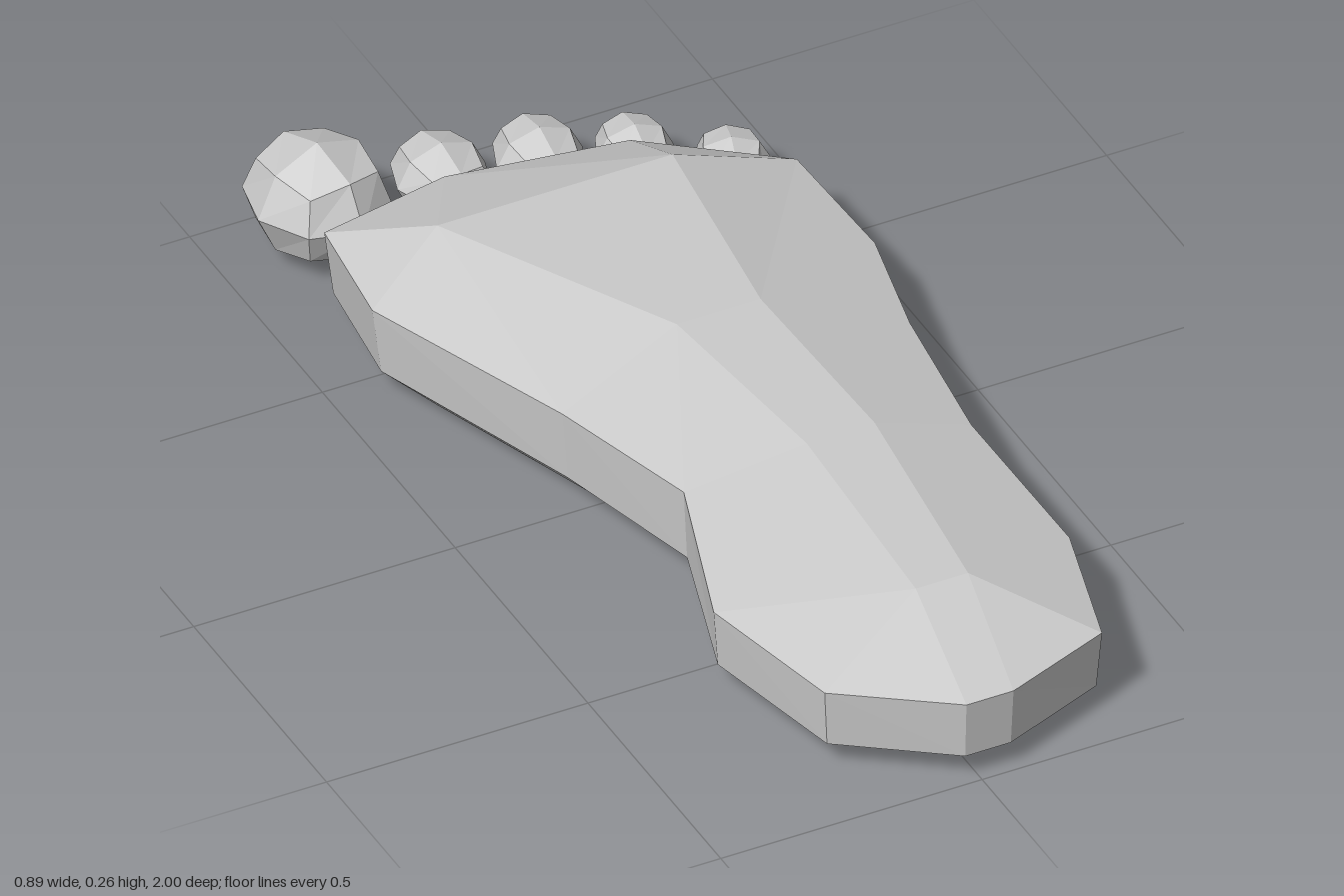
import * as THREE from 'three';

const material = new THREE.MeshStandardMaterial({ color: 0xcccccc, flatShading: true });

// Crown of the foot, heel to toes: [left-hand x, right-hand x, z, y]
const CROWN = [
  [0.0, 0.1, 0.75, 0.24],
  [0.02, 0.15, 0.3, 0.245],
  [-0.03, 0.13, -0.09, 0.257],
  [-0.26, 0.19, -0.54, 0.247],
];

// Outline rows, heel to toes: -x side [x, z, y, crown row], then +x side
const ROWS = [
  [[-0.03, 1.0, 0.168, 0], [0.06, 1.0, 0.168, 0]],
  [[-0.23, 0.86, 0.168, 0], [0.27, 0.92, 0.168, 0]],
  [[-0.295, 0.57, 0.17, 0], [0.34, 0.66, 0.175, 0]],
  [[-0.2, 0.27, 0.195, 1], [0.325, 0.32, 0.195, 1]],
  [[-0.28, -0.03, 0.19, 2], [0.37, 0.0, 0.185, 2]],
  [[-0.43, -0.45, 0.183, 3], [0.43, -0.25, 0.17, 2]],
  [[-0.4, -0.69, 0.18, 3], [0.42, -0.525, 0.17, 3]],
  [[-0.14, -0.75, 0.172, 3], [0.19, -0.7, 0.172, 3]],
];

// One side of a section, from sole edge up to the crown
function sidePoints([x, z, y, crown], side) {
  const c = CROWN[crown];
  const inset = (k, h) => new THREE.Vector3(0.06 + (x - 0.06) * k, h, z * (k + 0.02));
  return [
    inset(0.82, 0),
    inset(0.97, 0.052),
    new THREE.Vector3(x, y, z),
    new THREE.Vector3(c[side], c[3], c[2]),
  ];
}

function footGeometry() {
  const sections = ROWS.map(([l, r]) => [...sidePoints(l, 0), ...sidePoints(r, 1).reverse()]);
  const positions = [];
  const tri = (a, b, c) => {
    const area = b.clone().sub(a).cross(c.clone().sub(a)).length();
    if (area > 1e-6) for (const p of [a, b, c]) positions.push(p.x, p.y, p.z);
  };
  const quad = (a, b, c, d) => { tri(a, b, c); tri(a, c, d); };

  // Skin between neighbouring sections
  for (let i = 0; i < sections.length - 1; i++) {
    const s = sections[i], t = sections[i + 1];
    for (let j = 0; j < 8; j++) {
      const k = (j + 1) % 8;
      quad(s[j], s[k], t[k], t[j]);
    }
  }
  // Heel and toe ends
  const heel = sections[0], front = sections[sections.length - 1];
  for (let j = 0; j < 3; j++) {
    quad(heel[j], heel[7 - j], heel[6 - j], heel[j + 1]);
    quad(front[j], front[j + 1], front[6 - j], front[7 - j]);
  }
  const geometry = new THREE.BufferGeometry();
  geometry.setAttribute('position', new THREE.Float32BufferAttribute(positions, 3));
  geometry.computeVertexNormals();
  return geometry;
}

// Faceted ball: a subdivided cube pushed out to a sphere
function ballGeometry() {
  const geometry = new THREE.BoxGeometry(2, 2, 2, 2, 2, 2);
  const p = geometry.attributes.position;
  const v = new THREE.Vector3();
  for (let i = 0; i < p.count; i++) {
    v.fromBufferAttribute(p, i).normalize();
    p.setXYZ(i, v.x, v.y, v.z);
  }
  geometry.computeVertexNormals();
  return geometry;
}

// Toes: name, centre, radii, turn about y
const TOES = [
  ['bigToe', [-0.325, 0.12, -0.865], [0.125, 0.11, 0.135], 0.17],
  ['secondToe', [-0.09, 0.085, -0.86], [0.085, 0.07, 0.102], 0.03],
  ['middleToe', [0.083, 0.085, -0.83], [0.08, 0.065, 0.1], -0.05],
  ['fourthToe', [0.237, 0.083, -0.775], [0.07, 0.058, 0.087], -0.12],
  ['littleToe', [0.371, 0.083, -0.675], [0.069, 0.052, 0.08], -0.3],
];

export function createModel() {
  const model = new THREE.Group();
  model.name = 'foot';

  const sole = new THREE.Mesh(footGeometry(), material);
  sole.name = 'footBody';
  model.add(sole);

  const ball = ballGeometry();
  for (const [name, centre, radii, turn] of TOES) {
    const toe = new THREE.Mesh(ball, material);
    toe.name = name;
    toe.position.set(...centre);
    toe.scale.set(...radii);
    toe.rotation.y = turn;
    model.add(toe);
  }
  return model;
}
